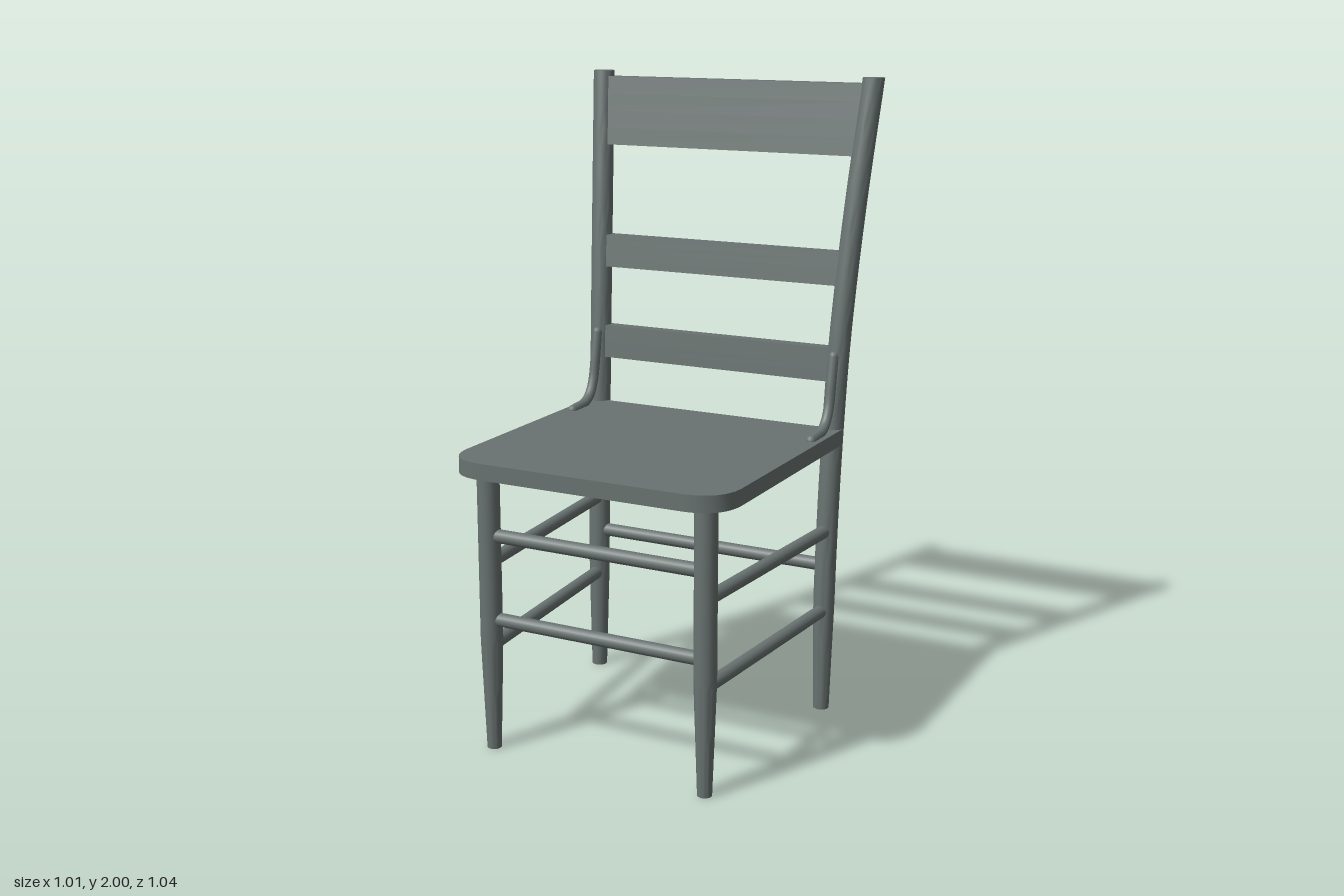
import * as THREE from 'three';
import { toCreasedNormals } from 'three/addons/utils/BufferGeometryUtils.js';

const wood = new THREE.MeshStandardMaterial({ color: 0x697371 });
wood.name = 'greyWood';

// Centre line of a back post at evenly spaced heights, so t = y / 2
const postLine = new THREE.CatmullRomCurve3([
  [0.412, 0, -0.319], [0.412, 0.4, -0.325], [0.416, 0.8, -0.342],
  [0.425, 1.2, -0.372], [0.444, 1.6, -0.422], [0.47, 2, -0.485],
].map((p) => new THREE.Vector3(...p)), false, 'catmullrom', 0.5);
const postAt = (y) => postLine.getPoint(THREE.MathUtils.clamp(y / 2, 0, 1));

const FRONT_X = 0.36, FRONT_Z = 0.426;

function add(parent, name, geometry) {
  const mesh = new THREE.Mesh(geometry, wood);
  mesh.name = name;
  parent.add(mesh);
  return mesh;
}

// Upright round member: narrow at the foot, following a centre line
function upright(height, centre, footRadius, radius) {
  const geo = new THREE.CylinderGeometry(1, 1, height, 24, 32);
  geo.translate(0, height / 2, 0);
  const pos = geo.attributes.position;
  for (let i = 0; i < pos.count; i++) {
    const y = pos.getY(i), c = centre(y);
    const r = THREE.MathUtils.lerp(footRadius, radius, Math.min(1, y / 0.35));
    pos.setXYZ(i, c.x + pos.getX(i) * r, y, c.z + pos.getZ(i) * r);
  }
  return toCreasedNormals(geo, 0.7);
}

// Round rung between two points
function rung(parent, name, a, b, radius = 0.021) {
  const dir = b.clone().sub(a);
  const mesh = add(parent, name, new THREE.CylinderGeometry(radius, radius, dir.length(), 20));
  mesh.position.copy(a).add(b).multiplyScalar(0.5);
  mesh.quaternion.setFromUnitVectors(new THREE.Vector3(0, 1, 0), dir.normalize());
}

// Back slat whose ends and lean follow the posts
function slat(bottom, top) {
  const geo = new THREE.BoxGeometry(2, top - bottom, 0.04, 1, 4, 1);
  geo.translate(0, (top + bottom) / 2, 0);
  const pos = geo.attributes.position;
  for (let i = 0; i < pos.count; i++) {
    const c = postAt(pos.getY(i));
    pos.setX(i, pos.getX(i) * c.x);
    pos.setZ(i, pos.getZ(i) + c.z);
  }
  geo.computeVertexNormals();
  return geo;
}

// Seat board with rounded front corners
function seatGeometry() {
  const w = 0.453, front = 0.518, back = -0.343, c = 0.13;
  const s = new THREE.Shape();
  s.moveTo(-w, -back);
  s.lineTo(-w, -front + c);
  s.bezierCurveTo(-w, -front + 0.045, -w + 0.045, -front, -w + c, -front);
  s.lineTo(w - c, -front);
  s.bezierCurveTo(w - 0.045, -front, w, -front + 0.045, w, -front + c);
  s.lineTo(w, -back);
  s.closePath();
  const geo = new THREE.ExtrudeGeometry(s, { depth: 0.05, bevelEnabled: false, curveSegments: 12 });
  geo.rotateX(-Math.PI / 2);
  geo.translate(0, 0.878, 0);
  return toCreasedNormals(geo, 0.6);
}

export function createModel() {
  const chair = new THREE.Group();
  chair.name = 'chair';
  add(chair, 'seat', seatGeometry());

  for (const side of [-1, 1]) {
    const label = side > 0 ? 'left' : 'right';
    const frontCentre = new THREE.Vector3(side * FRONT_X, 0, FRONT_Z);
    add(chair, label + 'FrontLeg', upright(0.89, () => frontCentre, 0.022, 0.034));
    const backCentre = (y) => {
      const p = postAt(y);
      p.x *= side;
      return p;
    };
    add(chair, label + 'BackPost', upright(2, backCentre, 0.025, 0.034));

    // Side rungs
    for (const y of [0.333, 0.597]) {
      rung(chair, label + 'SideRung', new THREE.Vector3(side * FRONT_X, y, FRONT_Z), backCentre(y));
    }

    // Curved brace between seat and post, with rounded ends
    const brace = new THREE.Group();
    brace.name = label + 'Brace';
    const path = new THREE.CatmullRomCurve3([
      [0.928, -0.17], [0.93, -0.2], [0.935, -0.245], [0.955, -0.28],
      [1.0, -0.306], [1.08, -0.323], [1.158, -0.338],
    ].map(([y, z]) => new THREE.Vector3(side * 0.42, y, z)));
    add(brace, 'braceBar', new THREE.TubeGeometry(path, 28, 0.016, 12));
    for (const t of [0, 1]) {
      add(brace, 'braceEnd', new THREE.SphereGeometry(0.016, 12, 8)).position.copy(path.getPoint(t));
    }
    chair.add(brace);
  }

  // Front and back rungs
  for (const y of [0.418, 0.682]) {
    rung(chair, 'frontRung', new THREE.Vector3(-FRONT_X, y, FRONT_Z), new THREE.Vector3(FRONT_X, y, FRONT_Z));
  }
  const end = postAt(0.482);
  rung(chair, 'backRung', new THREE.Vector3(-end.x, end.y, end.z), end);

  // Back slats
  add(chair, 'lowerSlat', slat(1.075, 1.18));
  add(chair, 'middleSlat', slat(1.372, 1.475));
  add(chair, 'topSlat', slat(1.765, 1.982));

  return chair;
}
